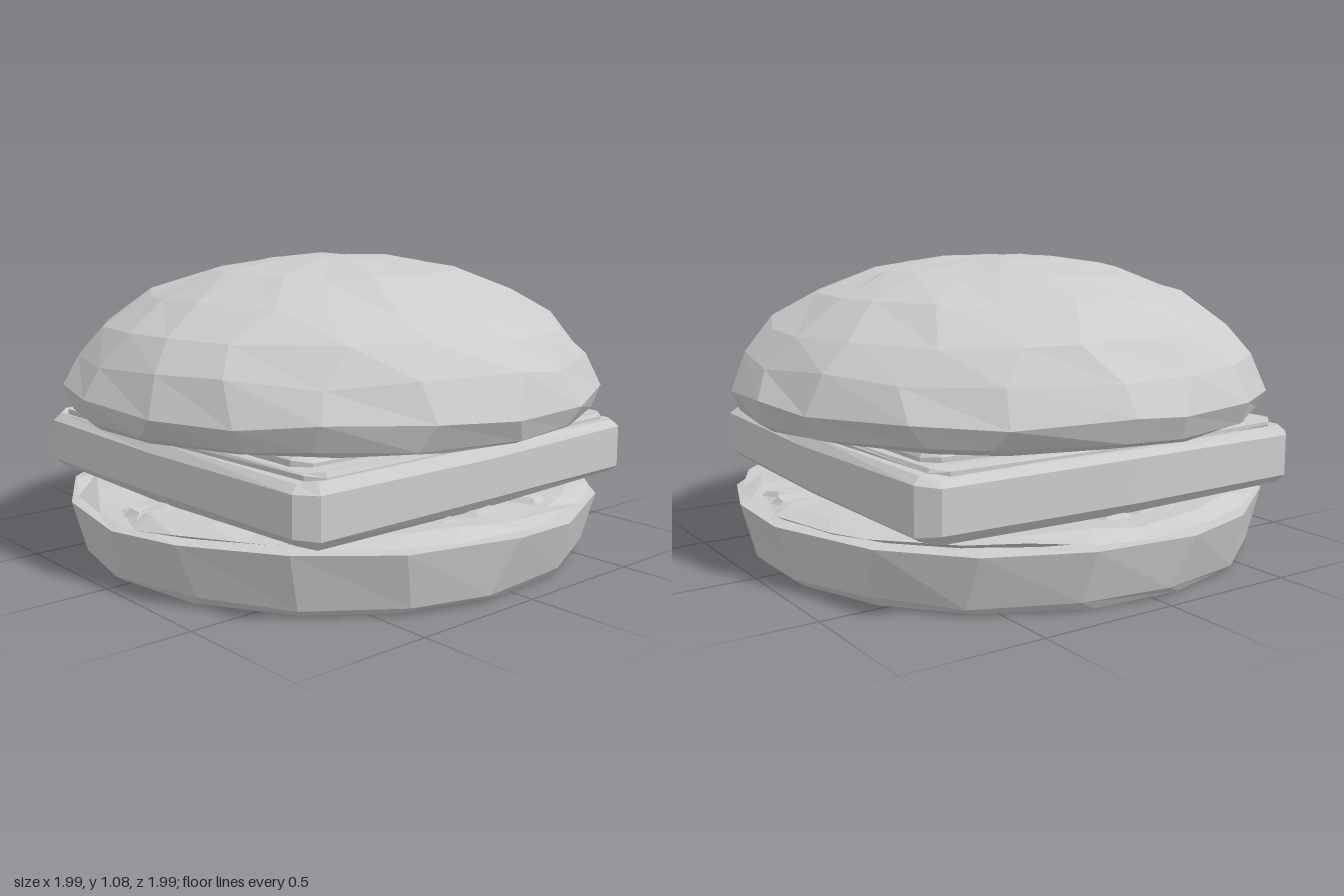
import * as THREE from 'three';

const material = new THREE.MeshStandardMaterial({ color: 0xcccccc, flatShading: true });

// Repeatable noise in -1..1 that depends on position, so seams stay closed
function noise(x, y, z, seed) {
  const r = (v) => Math.round(v * 1000) / 1000;
  const s = Math.sin(r(x) * 127.1 + r(y) * 311.7 + r(z) * 74.7 + seed * 19.3) * 43758.5453;
  return (s - Math.floor(s)) * 2 - 1;
}

// Move every vertex by a rule, then give it faceted normals
function reshape(geometry, rule) {
  const p = geometry.attributes.position;
  const v = new THREE.Vector3();
  for (let i = 0; i < p.count; i++) {
    v.fromBufferAttribute(p, i);
    rule(v);
    p.setXYZ(i, v.x, v.y, v.z);
  }
  const flat = geometry.index ? geometry.toNonIndexed() : geometry;
  flat.computeVertexNormals();
  return flat;
}

function add(group, name, geometry) {
  const mesh = new THREE.Mesh(geometry, material);
  mesh.name = name;
  group.add(mesh);
  return mesh;
}

// Round part with slightly uneven facets
function roundPart(profile, sides, turn, side, lift) {
  const g = new THREE.LatheGeometry(profile.map(([r, y]) => new THREE.Vector2(r, y)), sides);
  return reshape(g, (v) => {
    const r = Math.hypot(v.x, v.z);
    if (r < 0.001) return;
    const { x, y, z } = v;
    const a = Math.atan2(z, x) + turn + noise(x, y, z, 1) * side;
    v.set(Math.cos(a) * r, y + noise(x, y, z, 2) * lift(y), Math.sin(a) * r);
  });
}

// Square slab with clipped corners, gently bowed sides and bevelled edges
function slab(half, y0, y1, bevel, wave) {
  const h = half - bevel, c = h - 0.02, n = h - 0.065;
  const s = new THREE.Shape();
  for (let k = 0; k < 4; k++) {
    const cs = Math.round(Math.cos(k * Math.PI / 2)), sn = Math.round(Math.sin(k * Math.PI / 2));
    for (const [x, y] of [[c, -n], [h, 0], [c, n]]) {
      const px = x * cs - y * sn, py = x * sn + y * cs;
      if (k === 0 && y === -n) s.moveTo(px, py); else s.lineTo(px, py);
    }
  }
  s.closePath();
  const g = new THREE.ExtrudeGeometry(s, {
    depth: y1 - y0 - 2 * bevel, bevelEnabled: true, bevelSize: bevel, bevelThickness: bevel, bevelSegments: 1,
  });
  g.rotateX(-Math.PI / 2).translate(0, y0 + bevel, 0);
  return reshape(g, (v) => { v.y += noise(v.x, v.y, v.z, 5) * wave; });
}

export function createModel() {
  const burger = new THREE.Group();
  burger.name = 'burger';

  // Bottom bun, flat underneath with a small chamfer
  add(burger, 'bottomBun', roundPart(
    [[0, 0], [0.91, 0], [0.945, 0.03], [0.995, 0.215], [0.93, 0.222], [0.5, 0.225], [0, 0.225]],
    17, 0.1, 0.05, (y) => (y < 0.01 ? 0 : y > 0.2 ? 0.008 : 0.01)));

  // Crinkled leaf lying on the bottom bun
  add(burger, 'leaf', roundPart(
    [[0, 0.225], [0.55, 0.225], [0.92, 0.222], [0.965, 0.235], [0.9, 0.25], [0.6, 0.248], [0, 0.25]],
    26, 0, 0.07, () => 0.013));

  // Chopped pieces scattered over the leaf
  const chopped = new THREE.Group();
  chopped.name = 'choppedPieces';
  burger.add(chopped);
  for (let i = 0; i < 22; i++) {
    const a = i * 2.4, r = 0.72 + 0.14 * noise(i, 1, 2, 7);
    const g = new THREE.CylinderGeometry(0.05, 0.065, 0.02, 6);
    const piece = add(chopped, 'choppedPiece', reshape(g, (v) => {
      v.x *= 1.5;
      v.y += noise(v.x, 0, v.z, i) * 0.006;
    }));
    piece.position.set(Math.cos(a) * r, 0.255, Math.sin(a) * r);
    piece.rotation.y = i * 1.3;
  }

  // Square patty
  add(burger, 'patty', slab(0.81, 0.265, 0.47, 0.028, 0.008));

  // Thin slices between patty and top bun
  const lower = add(burger, 'lowerSlice', slab(0.76, 0.455, 0.487, 0.008, 0.007));
  lower.rotation.y = 0.02;
  const upper = add(burger, 'upperSlice', slab(0.7, 0.478, 0.51, 0.008, 0.007));
  upper.rotation.y = -0.03;

  // Domed top bun
  add(burger, 'topBun', roundPart(
    [[0, 0.495], [0.55, 0.498], [0.93, 0.515], [0.965, 0.535], [0.998, 0.615], [0.94, 0.735], [0.85, 0.835],
      [0.68, 0.94], [0.46, 1.02], [0.22, 1.065], [0, 1.075]],
    19, 0.05, 0.07, (y) => (y < 0.56 ? 0.006 : y < 1.04 ? 0.016 : 0.006)));

  return burger;
}
